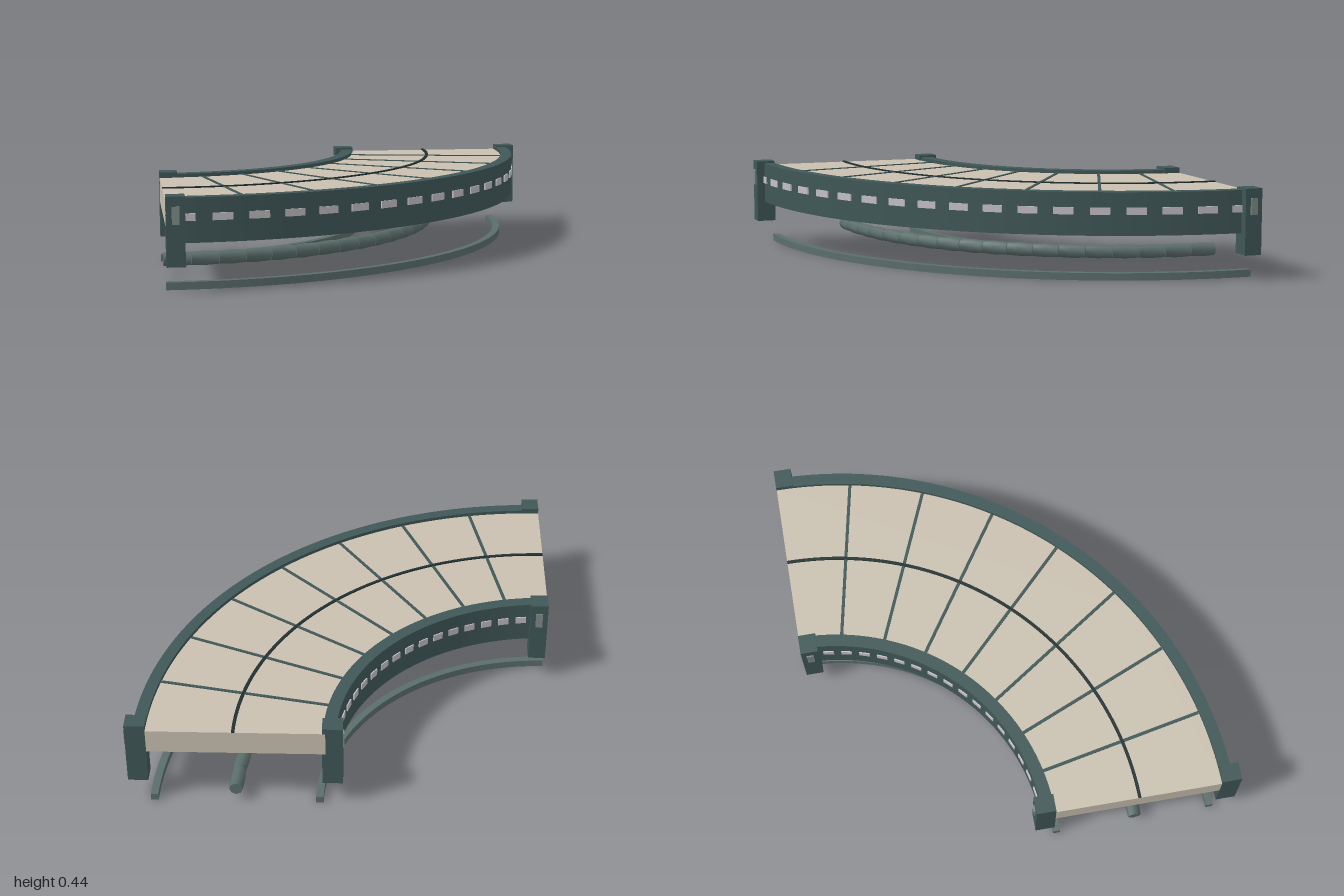
import * as THREE from 'three';
import { toCreasedNormals } from 'three/addons/utils/BufferGeometryUtils.js';

const Q = Math.PI / 2;

function material(name, color) {
  const m = new THREE.MeshStandardMaterial({ color });
  m.name = name;
  return m;
}

// Quarter ring between two radii and two heights
function ring(r0, r1, y0, y1, segments = 48) {
  const s = new THREE.Shape();
  s.moveTo(r0, 0);
  s.lineTo(r1, 0);
  s.absarc(0, 0, r1, 0, Q, false);
  s.lineTo(0, r0);
  s.absarc(0, 0, r0, Q, 0, true);
  const g = new THREE.ExtrudeGeometry(s, { depth: y1 - y0, bevelEnabled: false, curveSegments: segments });
  g.rotateX(Q).translate(0, y1, 0);
  return toCreasedNormals(g, 0.5);
}

export function createModel() {
  const green = material('dark green metal', 0x405757);
  const steel = material('grey green steel', 0x5b6e6b);
  const concrete = material('beige deck', 0xc9c0b0);
  const line = material('dark centre line', 0x213031);
  const light = material('pale light strip', 0xc4c0c6);
  const panel = material('grey post panel', 0x7f8b88);

  const model = new THREE.Group();
  model.name = 'curvedTrack';
  // Everything curves around one corner
  const curve = new THREE.Group();
  curve.name = 'quarterCurve';
  curve.position.set(-1, 0, -1);
  model.add(curve);

  const add = (name, geometry, mat, parent = curve) => {
    const mesh = new THREE.Mesh(geometry, mat);
    mesh.name = name;
    parent.add(mesh);
    return mesh;
  };
  // Place a mesh at a radius and angle, its local x pointing outwards
  const polar = (mesh, r, a, y) => {
    mesh.position.set(r * Math.cos(a), y, r * Math.sin(a));
    mesh.rotation.y = -a;
  };

  // Deck, side walls and the lower guide rails
  add('deck', ring(1.07, 1.9, 0.3, 0.418), concrete);
  add('innerWall', ring(1.02, 1.08, 0.23, 0.435), green);
  add('outerWall', ring(1.89, 1.947, 0.23, 0.435), green);
  add('centreLine', ring(1.482, 1.497, 0.417, 0.424), line);
  add('innerGuideRail', ring(1.08, 1.115, 0.008, 0.043), steel);
  add('outerGuideRail', ring(1.85, 1.885, 0.008, 0.043), steel);

  // Radial deck joints
  const joint = new THREE.BoxGeometry(0.81, 0.006, 0.015);
  for (let i = 1; i < 8; i++) {
    polar(add('deckJoint', joint, green), 1.483, (i * Q) / 8, 0.419);
  }

  // Segmented pipe under the deck and light strips along both walls
  const count = 18;
  const length = 2 * 1.485 * Math.tan(Q / count / 2);
  const pipe = new THREE.CylinderGeometry(0.034, 0.034, length, 8, 2);
  const p = pipe.attributes.position;
  for (let i = 0; i < p.count; i++) {
    const k = Math.abs(p.getY(i)) > 0.01 ? 0.93 : 1.03;
    p.setX(i, p.getX(i) * k);
    p.setZ(i, p.getZ(i) * k);
  }
  pipe.computeVertexNormals();
  pipe.rotateX(Q);
  const outerStrip = new THREE.BoxGeometry(0.009, 0.034, 0.095);
  const innerStrip = new THREE.BoxGeometry(0.009, 0.034, 0.052);
  for (let i = 0; i < count; i++) {
    const a = ((i + 0.5) * Q) / count;
    polar(add('pipeSegment', pipe, steel), 1.485, a, 0.083);
    polar(add('outerLightStrip', outerStrip, light), 1.9485, a, 0.347);
    polar(add('innerLightStrip', innerStrip, light), 1.0185, a, 0.347);
  }

  // Corner posts with a panel on the face turned away from the deck
  const post = (r, side, swapped) => {
    const g = new THREE.Group();
    g.name = side > 0 ? 'outerPost' : 'innerPost';
    curve.add(g);
    const box = (name, along, across, h, rPos, tPos, y, mat) => {
      const size = swapped ? [across, h, along] : [along, h, across];
      const m = add(name, new THREE.BoxGeometry(...size), mat, g);
      if (swapped) m.position.set(tPos, y, rPos);
      else m.position.set(rPos, y, tPos);
    };
    box('postBody', 0.095, 0.085, 0.317, r, 0.0425, 0.2865, green);
    box('postPanel', 0.009, 0.034, 0.08, r + side * 0.0495, 0.0425, 0.36, panel);
  };
  for (const swapped of [false, true]) {
    post(1.0375, -1, swapped);
    post(1.9375, 1, swapped);
  }

  return model;
}
